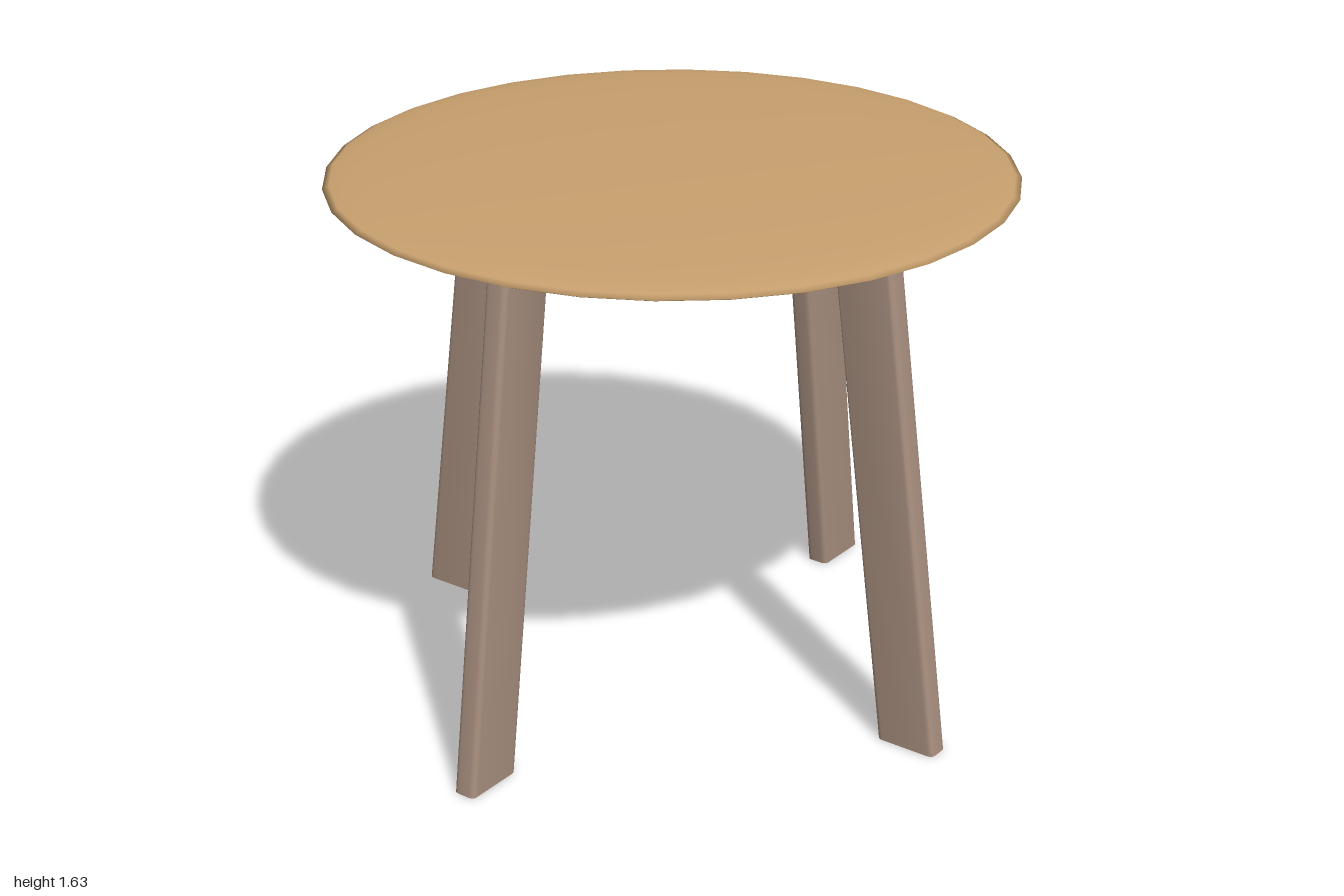
import * as THREE from 'three';
import { toCreasedNormals } from 'three/addons/utils/BufferGeometryUtils.js';

const topWood = new THREE.MeshStandardMaterial({ name: 'honeyWood', color: 0xc8a06e });
const legWood = new THREE.MeshStandardMaterial({ name: 'greyBrownWood', color: 0xa88f7f });

// Rounded plank section, extruded upwards and leaned inwards as it rises
function legGeometry() {
  const w = 0.19, t = 0.072, r = 0.018, height = 1.585, lean = 0.135;
  const x = w / 2, y = t / 2;
  const section = new THREE.Shape();
  section.moveTo(-x + r, -y);
  section.lineTo(x - r, -y);
  section.quadraticCurveTo(x, -y, x, -y + r);
  section.lineTo(x, y - r);
  section.quadraticCurveTo(x, y, x - r, y);
  section.lineTo(-x + r, y);
  section.quadraticCurveTo(-x, y, -x, y - r);
  section.lineTo(-x, -y + r);
  section.quadraticCurveTo(-x, -y, -x + r, -y);

  const geo = new THREE.ExtrudeGeometry(section, { depth: height, bevelEnabled: false, curveSegments: 4 });
  geo.rotateX(-Math.PI / 2);
  const pos = geo.attributes.position;
  for (let i = 0; i < pos.count; i++) pos.setX(i, pos.getX(i) - lean * pos.getY(i));
  return toCreasedNormals(geo, Math.PI / 4);
}

export function createModel() {
  const table = new THREE.Group();
  table.name = 'roundTable';

  // Lens-shaped top
  const top = new THREE.Mesh(new THREE.SphereGeometry(1, 32, 16), topWood);
  top.name = 'tableTop';
  top.scale.y = 0.047;
  top.position.y = 1.588;
  table.add(top);

  // Four splayed legs, the side pair set slightly wider
  const geo = legGeometry();
  ['leftLeg', 'backLeg', 'rightLeg', 'frontLeg'].forEach((name, i) => {
    const leg = new THREE.Mesh(geo, legWood);
    const angle = (i * Math.PI) / 2;
    const reach = i % 2 ? 0.87 : 0.905;
    leg.name = name;
    leg.rotation.y = angle;
    leg.position.set(Math.cos(angle) * reach, 0, -Math.sin(angle) * reach);
    table.add(leg);
  });

  return table;
}
